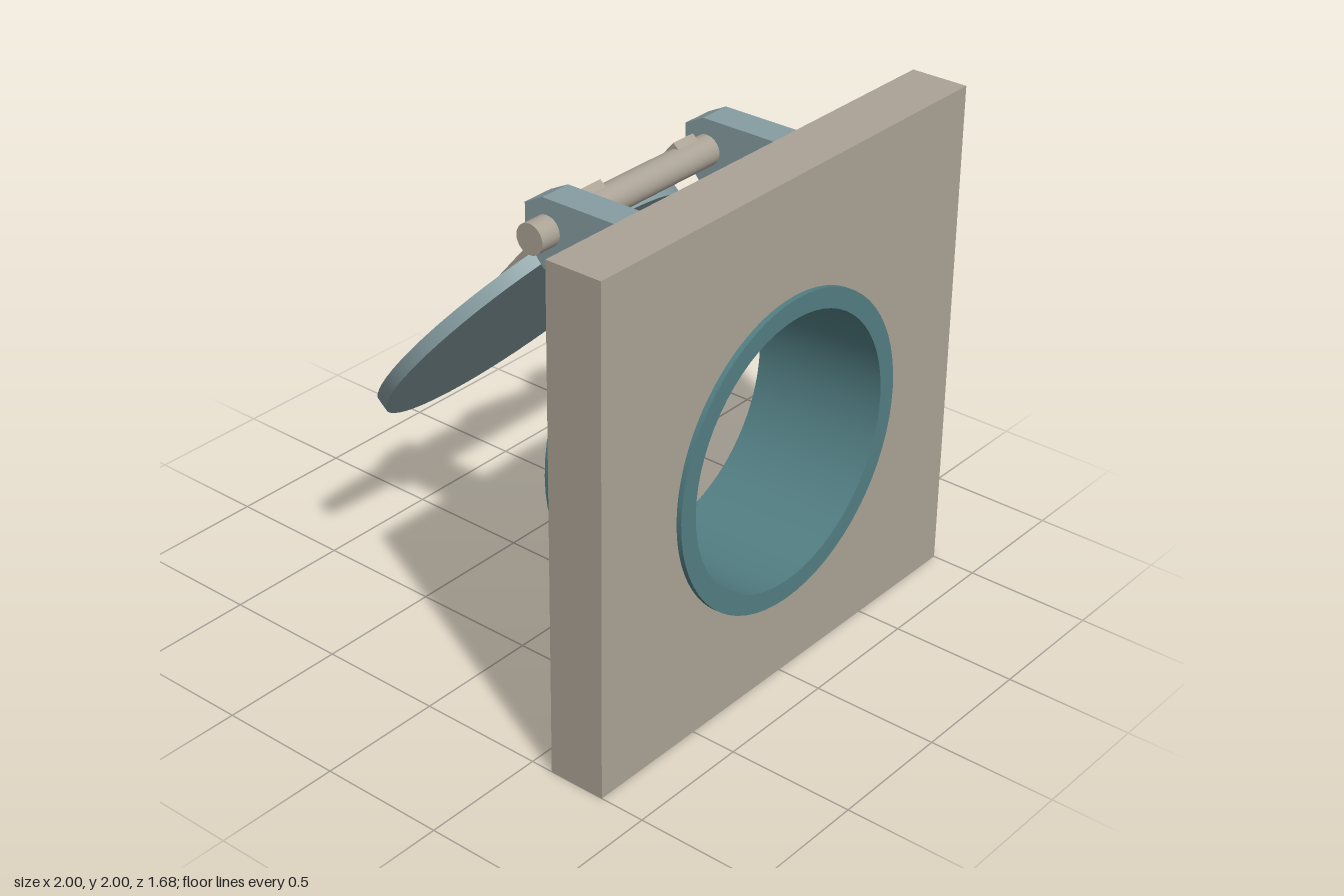
import * as THREE from 'three';
import { toCreasedNormals } from 'three/addons/utils/BufferGeometryUtils.js';

export function createModel() {
  const model = new THREE.Group();
  const beige = new THREE.MeshStandardMaterial({ color: 0xaba396 });
  beige.name = 'warm beige';
  const teal = new THREE.MeshStandardMaterial({ color: 0x527e83 });
  teal.name = 'teal';
  const blueGrey = new THREE.MeshStandardMaterial({ color: 0x869da1 });
  blueGrey.name = 'blue grey';

  const add = (parent, name, geometry, material, x = 0, y = 0, z = 0) => {
    const mesh = new THREE.Mesh(geometry, material);
    mesh.name = name;
    mesh.position.set(x, y, z);
    parent.add(mesh);
    return mesh;
  };
  const crease = (g) => toCreasedNormals(g, 0.5);

  const pipeY = 0.936;
  const pipeR = 0.612;
  const flangeR = 0.68;

  // Square wall slab with a round opening for the pipe
  const slab = new THREE.Shape([[-1, 0], [1, 0], [1, 2], [-1, 2]].map((p) => new THREE.Vector2(...p)));
  slab.holes.push(new THREE.Path().absarc(0, pipeY, pipeR, 0, Math.PI * 2, true));
  const wall = new THREE.ExtrudeGeometry(slab, { depth: 0.23, bevelEnabled: false, curveSegments: 64 });
  add(model, 'wall', crease(wall), beige, 0, 0, 0.59);

  // Hollow pipe with a flange at its rear end, turned about the z axis
  const profile = [
    [0.534, 0.286], [flangeR, 0.286], [flangeR, 0.375],
    [pipeR, 0.375], [pipeR, 0.84], [0.534, 0.84], [0.534, 0.286],
  ].map((p) => new THREE.Vector2(...p));
  const pipe = new THREE.LatheGeometry(profile, 64).rotateX(Math.PI / 2);
  add(model, 'flangedPipe', crease(pipe), teal, 0, pipeY, 0);

  // Hinge brackets with chamfered rear corners: outline in (-z, y), extruded along x
  const outline = new THREE.Shape([
    [-0.59, 1.62], [-0.13, 1.62], [-0.047, 1.713],
    [-0.047, 1.848], [-0.127, 1.89], [-0.59, 1.89],
  ].map((p) => new THREE.Vector2(...p)));
  const bracketWidth = 0.132;
  const bracket = new THREE.ExtrudeGeometry(outline, { depth: bracketWidth, bevelEnabled: false })
    .translate(0, 0, -bracketWidth / 2)
    .rotateY(Math.PI / 2);
  for (const side of [-1, 1]) {
    add(model, side > 0 ? 'leftBracket' : 'rightBracket', bracket, blueGrey, side * 0.432, 0, 0);
  }

  // Hinge pin through both brackets
  const pin = new THREE.CylinderGeometry(0.059, 0.059, 1.172, 32).rotateZ(Math.PI / 2);
  add(model, 'hingePin', pin, beige, 0, 1.77, 0.146);

  // Swinging flap, tilted open; its origin is the middle of the disc's outer face
  const flap = new THREE.Group();
  flap.name = 'flap';
  flap.position.set(0, 1.145, -0.402);
  flap.rotation.x = THREE.MathUtils.degToRad(40);
  model.add(flap);
  const disc = new THREE.CylinderGeometry(flangeR, flangeR, 0.053, 64).rotateX(Math.PI / 2);
  add(flap, 'disc', disc, blueGrey, 0, 0, 0.0265);

  // Two straps joining the disc to the pin
  const strap = new THREE.BoxGeometry(0.11, 1.01, 0.047);
  for (const side of [-1, 1]) {
    add(flap, side > 0 ? 'leftStrap' : 'rightStrap', strap, beige, side * 0.253, 0.375, -0.0235);
  }

  return model;
}
